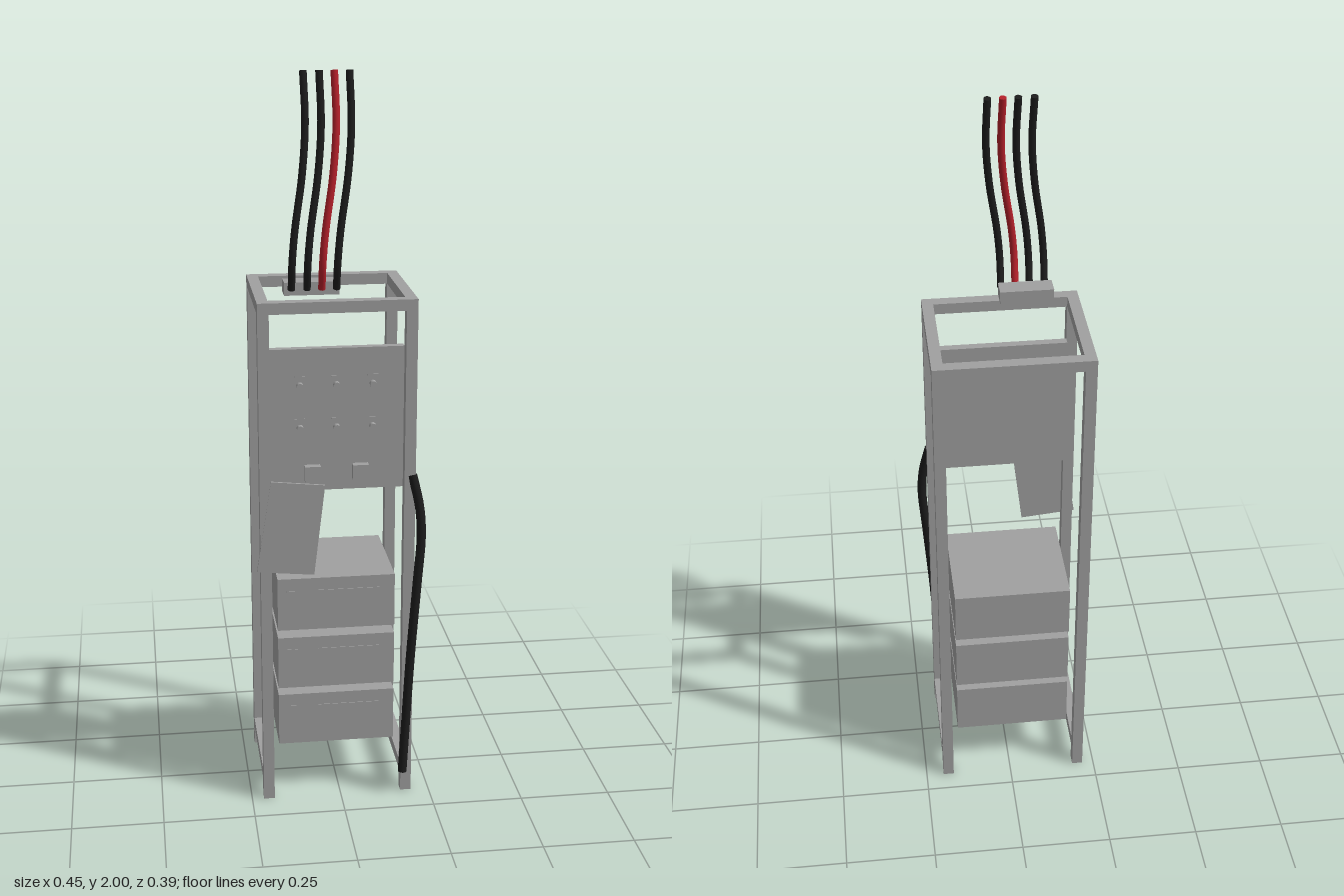
import * as THREE from 'three';

export function createModel() {
  const model = new THREE.Group();
  model.name = 'equipmentRack';

  const grey = new THREE.MeshStandardMaterial({ color: 0xa0a0a0 });
  grey.name = 'grey metal';
  const black = new THREE.MeshStandardMaterial({ color: 0x1c1c1c });
  black.name = 'black rubber';
  const red = new THREE.MeshStandardMaterial({ color: 0xb3202a });
  red.name = 'red rubber';

  const add = (name, geometry, material, parent = model) => {
    const mesh = new THREE.Mesh(geometry, material);
    mesh.name = name;
    parent.add(mesh);
    return mesh;
  };
  // Box given by its lower and upper limits on each axis
  const block = (name, [x0, x1], [y0, y1], [z0, z1], parent = model) => {
    const mesh = add(name, new THREE.BoxGeometry(x1 - x0, y1 - y0, z1 - z0), grey, parent);
    mesh.position.set((x0 + x1) / 2, (y0 + y1) / 2, (z0 + z1) / 2);
    return mesh;
  };

  // Frame: four posts, a top ring and two low side rails
  const frame = new THREE.Group();
  frame.name = 'frame';
  model.add(frame);
  const xSides = [[-0.217, -0.187], [0.17, 0.2]];
  const zSides = [[-0.195, -0.163], [0.129, 0.16]];
  const zGap = [-0.163, 0.129];
  for (const x of xSides) {
    for (const z of zSides) block('post', x, [0, 1.424], z, frame);
    block('topSideRail', x, [1.394, 1.424], zGap, frame);
    block('bottomSideRail', x, [0.053, 0.083], zGap, frame);
  }
  for (const z of zSides) block('topCrossRail', [-0.187, 0.17], [1.394, 1.424], z, frame);

  // Three equipment boxes with slim slots across the front
  for (const y of [0.154, 0.326, 0.5]) {
    block('equipmentBox', [-0.17, 0.152], [y, y + 0.151], [-0.161, 0.131]);
    block('shortSlot', [-0.145, -0.115], [y + 0.113, y + 0.116], [0.131, 0.133]);
    block('longSlot', [-0.06, 0.11], [y + 0.113, y + 0.116], [0.131, 0.133]);
  }

  // Control panel with six knobs and two square switches
  block('controlPanel', [-0.187, 0.17], [0.905, 1.294], [0.109, 0.131]);
  for (const x of [-0.106, -0.009, 0.087]) {
    for (const y of [1.08, 1.196]) {
      const knob = add('knob', new THREE.CylinderGeometry(0.009, 0.009, 0.016, 12), grey);
      knob.rotation.x = Math.PI / 2;
      knob.position.set(x, y, 0.139);
      block('knobMark', [x - 0.014, x + 0.014], [y + 0.022, y + 0.025], [0.131, 0.133]);
    }
  }
  for (const x of [-0.074, 0.054]) {
    block('squareSwitch', [x - 0.021, x + 0.021], [0.935, 0.977], [0.131, 0.152]);
  }

  // Loose sheet hanging askew below the panel
  const sheet = new THREE.Shape([[-0.187, 0.943], [-0.227, 0.689], [-0.073, 0.674], [-0.043, 0.928]]
    .map(([x, y]) => new THREE.Vector2(x, y)));
  add('hangingSheet', new THREE.ExtrudeGeometry(sheet, { depth: 0.006, bevelEnabled: false }), grey)
    .position.z = 0.156;

  // Cable connector above the frame
  block('connector', [-0.145, -0.003], [1.438, 1.472], [0.088, 0.14]);

  // Cable: a tube through points, with closed ends
  const cable = (name, points, radius, material) => {
    const group = new THREE.Group();
    group.name = name;
    model.add(group);
    const curve = new THREE.CatmullRomCurve3(points.map((p) => new THREE.Vector3(...p)));
    add('cableBody', new THREE.TubeGeometry(curve, 36, radius, 12), material, group);
    for (const t of [0, 1]) {
      const cap = add('cableEnd', new THREE.CircleGeometry(radius, 12), material, group);
      const outward = curve.getTangent(t).multiplyScalar(t ? 1 : -1);
      cap.position.copy(curve.getPoint(t));
      cap.quaternion.setFromUnitVectors(new THREE.Vector3(0, 0, 1), outward);
    }
  };

  // Four supply cables rising from the connector
  [-0.127, -0.087, -0.049, -0.011].forEach((x, i) => cable('supplyCable', [
    [x, 1.455, 0.146], [x, 1.53, 0.171], [x + 0.007, 1.61, 0.172],
    [x + 0.028, 1.75, 0.157], [x + 0.038, 1.87, 0.138], [x + 0.036, 1.998, 0.115],
  ], 0.0095, i === 2 ? red : black));

  // Thick cable hanging down the left front post
  cable('hangingCable', [
    [0.192, 0.945, 0.156], [0.21, 0.86, 0.168], [0.215, 0.78, 0.175], [0.206, 0.65, 0.178],
    [0.191, 0.44, 0.178], [0.18, 0.23, 0.177], [0.172, 0.07, 0.177],
  ], 0.0125, black);

  return model;
}
